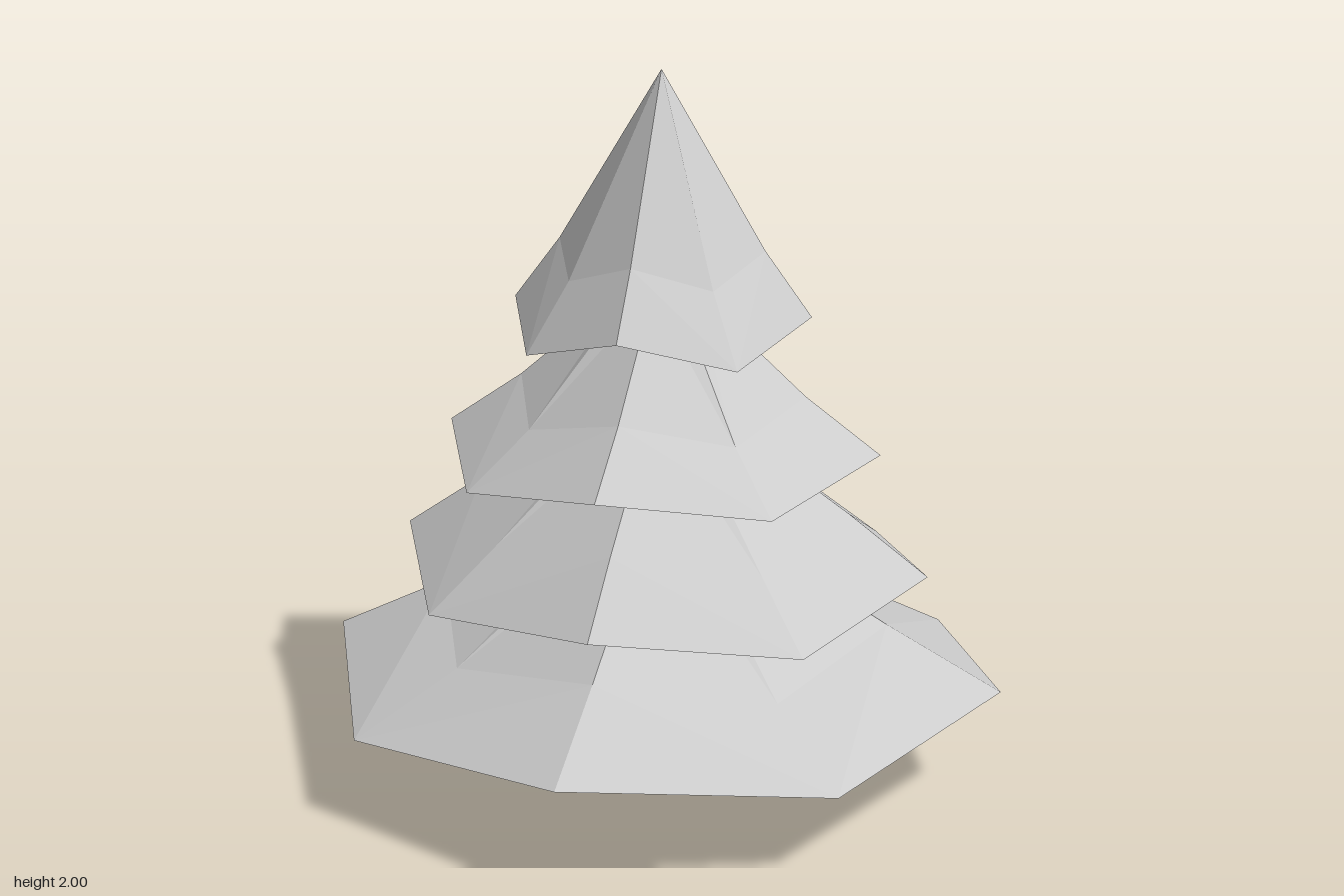
import * as THREE from 'three';

const material = new THREE.MeshStandardMaterial({ color: 0xcccccc, flatShading: true });

// Eight-point ring: points on the axes droop, points on the diagonals sit higher.
// d is the x (and z) coordinate of a diagonal point.
function ring({ r, y, d, dy }, stretchZ) {
  const points = [];
  for (let i = 0; i < 8; i++) {
    const a = (i * Math.PI) / 4;
    const diagonal = i % 2 === 1;
    const radius = diagonal ? d * Math.SQRT2 : r;
    points.push([Math.sin(a) * radius, diagonal ? dy : y, Math.cos(a) * radius * stretchZ]);
  }
  return points;
}

// Joins rings from the top, down over the rim and back in underneath
function foliage(name, rings, stretchZ = 1) {
  const positions = rings.flatMap((r) => ring(r, stretchZ)).flat();
  const index = [];
  for (let j = 0; j < rings.length - 1; j++) {
    for (let i = 0; i < 8; i++) {
      const n = (i + 1) % 8;
      const a = j * 8 + i, b = j * 8 + n, c = a + 8, d = b + 8;
      // mirror the split so each side folds symmetrically
      if (i % 2) index.push(a, c, d, a, d, b);
      else index.push(a, c, b, b, c, d);
    }
  }
  const geometry = new THREE.BufferGeometry();
  geometry.setAttribute('position', new THREE.Float32BufferAttribute(positions, 3));
  geometry.setIndex(index);
  const flat = geometry.toNonIndexed();
  flat.computeVertexNormals();
  const mesh = new THREE.Mesh(flat, material);
  mesh.name = name;
  return mesh;
}

const level = (r, y) => ({ r, y, d: r * Math.SQRT1_2, dy: y });

export function createModel() {
  const tree = new THREE.Group();
  tree.name = 'pineTree';

  // Tapered octagonal trunk, flat side to the front
  const trunkGeometry = new THREE.CylinderGeometry(0.095, 0.156, 1.55, 8);
  trunkGeometry.rotateY(Math.PI / 8);
  const trunk = new THREE.Mesh(trunkGeometry, material);
  trunk.name = 'trunk';
  trunk.position.y = 0.775;
  tree.add(trunk);

  // Tiers from bottom to top: crown, bend, rim, underside at the trunk
  tree.add(foliage('bottomBranches', [
    level(0.11, 0.78),
    { r: 0.64, y: 0.4, d: 0.46, dy: 0.48 },
    { r: 0.95, y: 0.25, d: 0.69, dy: 0.315 },
    level(0.12, 0.52),
  ]));
  tree.add(foliage('lowerBranches', [
    level(0.1, 1.08),
    { r: 0.52, y: 0.73, d: 0.37, dy: 0.8 },
    { r: 0.72, y: 0.57, d: 0.525, dy: 0.64 },
    level(0.11, 0.84),
  ], 1.065));
  tree.add(foliage('upperBranches', [
    level(0.09, 1.4),
    { r: 0.41, y: 1.05, d: 0.29, dy: 1.12 },
    { r: 0.6, y: 0.9, d: 0.44, dy: 0.97 },
    level(0.1, 1.17),
  ]));
  tree.add(foliage('treeTop', [
    level(0.001, 2),
    { r: 0.285, y: 1.45, d: 0.207, dy: 1.52 },
    { r: 0.415, y: 1.26, d: 0.3, dy: 1.345 },
    level(0.09, 1.5),
  ]));
  return tree;
}
